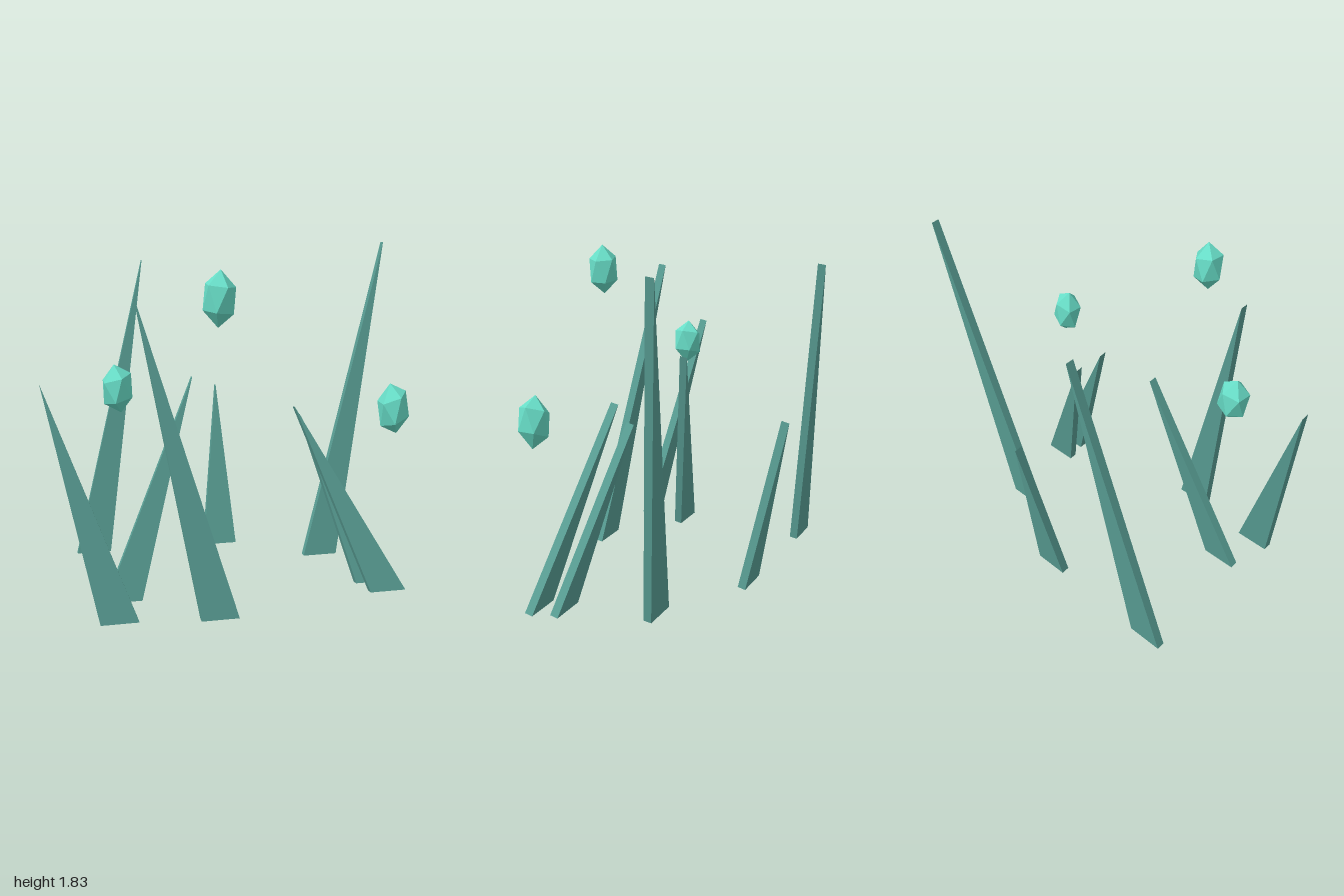
import * as THREE from 'three';

const bladeMat = new THREE.MeshStandardMaterial({ color: 0x5aa096 });
bladeMat.name = 'deep teal';
const crystalMat = new THREE.MeshStandardMaterial({ color: 0x68dec8 });
crystalMat.name = 'bright aqua';

const THICK = 0.045; // blade thickness
const RUN = 0.195;   // how far each tip leans back

// Flat triangular shard whose tip is offset sideways and leans back
function makeBlade(baseX, frontZ, tipX, tipY) {
  const tilt = Math.atan2(RUN, tipY);
  const lift = THICK * Math.sin(tilt);
  const length = Math.hypot(RUN, tipY - lift);
  const shape = new THREE.Shape();
  shape.moveTo(-0.099, 0);
  shape.lineTo(0.099, 0);
  shape.lineTo(tipX - baseX, length);
  shape.closePath();
  const geo = new THREE.ExtrudeGeometry(shape, { depth: THICK, bevelEnabled: false });
  const blade = new THREE.Mesh(geo, bladeMat);
  blade.rotation.x = -tilt;
  blade.position.set(baseX, 0, frontZ - THICK * Math.cos(tilt));
  return blade;
}

// Icosahedron turned about z, then stretched to the wanted half height
function makeCrystal(x, y, z, halfHeight, turn) {
  const geo = new THREE.IcosahedronGeometry(0.088, 0);
  geo.rotateZ(THREE.MathUtils.degToRad(turn));
  geo.computeBoundingBox();
  geo.scale(1, halfHeight / geo.boundingBox.max.y, 1);
  geo.computeVertexNormals();
  const crystal = new THREE.Mesh(geo, crystalMat);
  crystal.position.set(x, y, z);
  return crystal;
}

export function createModel() {
  const model = new THREE.Group();
  model.name = 'crystalGrass';

  // Blades: base x, front z of base, tip x, tip y
  [
    [-0.655, 0.575, -1.0, 1.22],
    [-0.713, -0.42, -0.37, 1.725],
    [-0.145, 0.625, -0.53, 1.635],
    [-0.61, 0.32, -0.2, 1.175],
    [0.053, -0.405, 0.065, 0.965],
    [0.605, -0.12, 1.0, 1.83],
    [0.817, 0.465, 0.325, 1.02],
    [0.778, 0.335, 0.39, 0.945],
  ].forEach((b, i) => {
    const blade = makeBlade(...b);
    blade.name = `blade${i + 1}`;
    model.add(blade);
  });

  // Floating crystals: centre, half height, turn in degrees
  [
    [-0.143, 1.645, 0.583, 0.139, -36],
    [-0.61, 1.163, 0.28, 0.125, -21],
    [0.815, 1.025, 0.425, 0.135, -17],
  ].forEach((c, i) => {
    const crystal = makeCrystal(...c);
    crystal.name = `floatingCrystal${i + 1}`;
    model.add(crystal);
  });

  return model;
}
